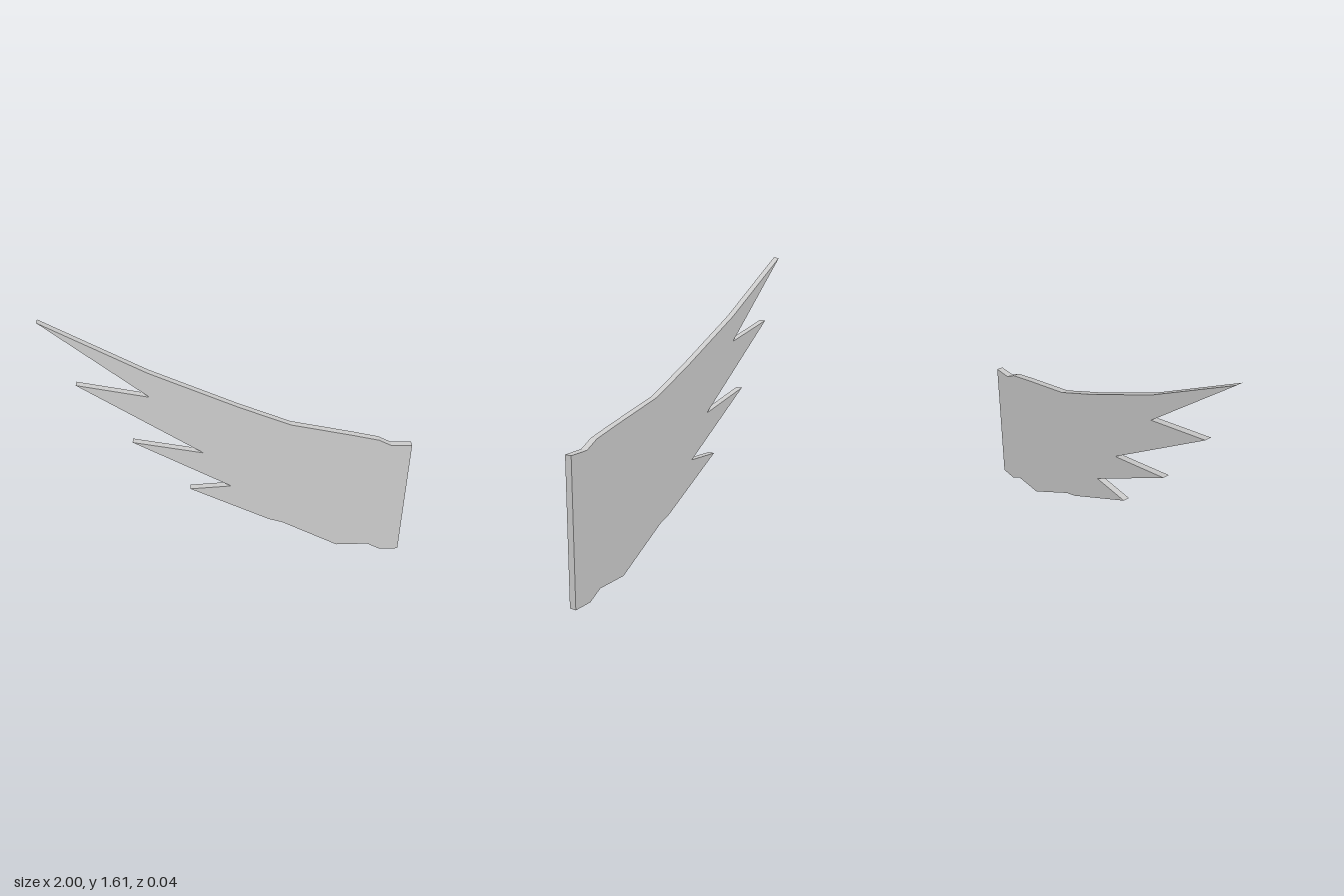
import * as THREE from 'three';

const THICKNESS = 0.038;

// Outline seen from the front, counter-clockwise from the root's lower corner
const root = [[0.89, 0], [1, 0], [1, 0.788], [0.885, 0.788]];
const leadingEdge = [[0.81, 0.828], [0.66, 0.865], [0.31, 0.945], [0.02, 1.07], [-0.455, 1.295]];
// Feather tips alternate with the notches between them
const feathers = [
  [-1, 1.605], [-0.455, 1.145],
  [-0.84, 1.228], [-0.175, 0.765],
  [-0.565, 0.847], [-0.02, 0.522],
  [-0.255, 0.507],
];
const trailingEdge = [[0.205, 0.262], [0.285, 0.235], [0.62, 0.045], [0.81, 0.045]];

export function createModel() {
  const group = new THREE.Group();
  group.name = 'wing';

  const outline = [...root, ...leadingEdge, ...feathers, ...trailingEdge];
  const shape = new THREE.Shape(outline.map(([x, y]) => new THREE.Vector2(x, y)));

  // Flat plate of even thickness, centred on z = 0
  const geometry = new THREE.ExtrudeGeometry(shape, { depth: THICKNESS, bevelEnabled: false });
  geometry.translate(0, 0, -THICKNESS / 2);

  const material = new THREE.MeshStandardMaterial({ color: 0xcccccc, flatShading: true });
  const plate = new THREE.Mesh(geometry, material);
  plate.name = 'wingPlate';
  group.add(plate);
  return group;
}
